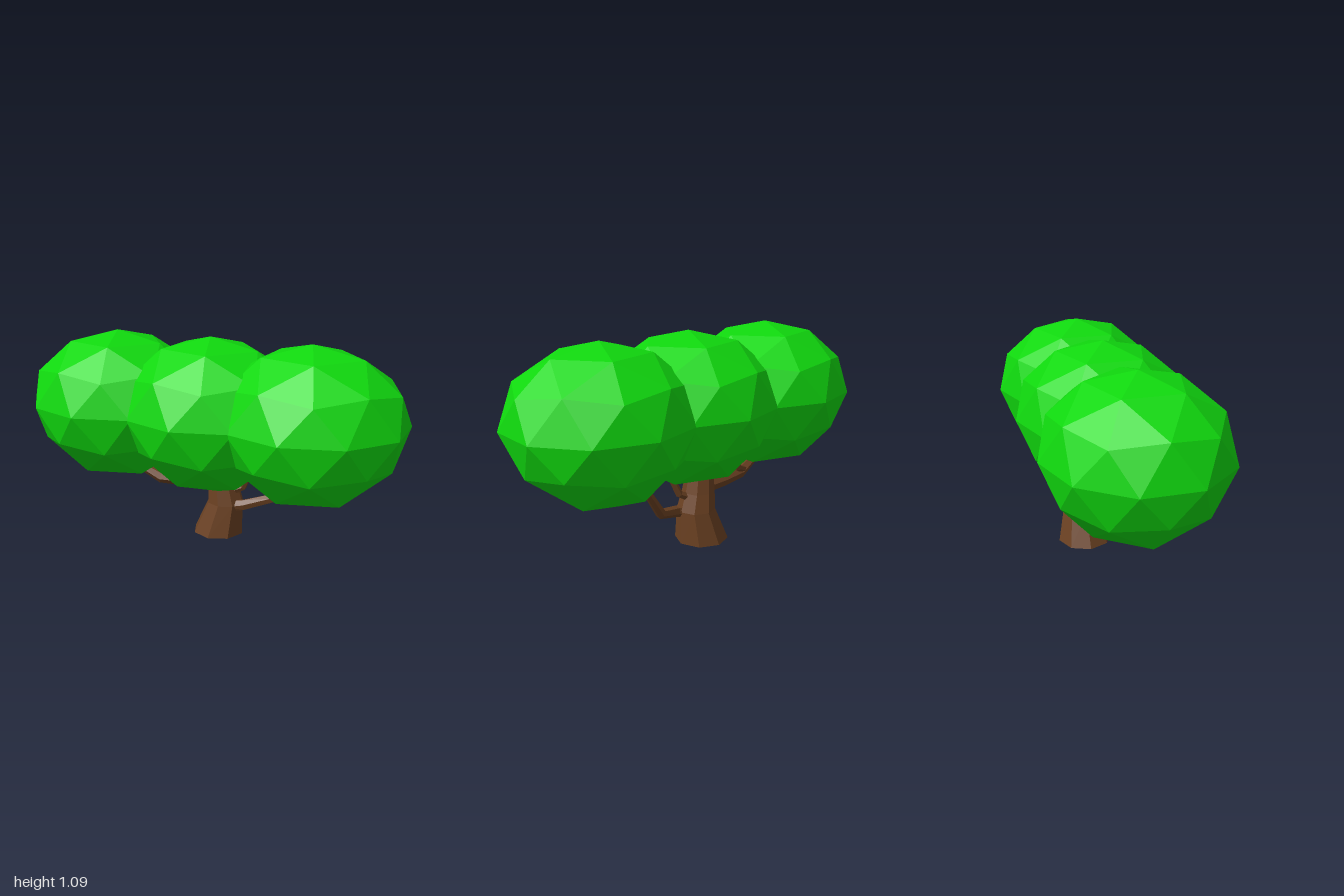
import * as THREE from 'three';

const leafMaterial = new THREE.MeshStandardMaterial({ color: 0x10d80e, flatShading: true });
const barkMaterial = new THREE.MeshStandardMaterial({ color: 0x6b4122, flatShading: true });
const UP = new THREE.Vector3(0, 1, 0);

// Faceted limb through rings of [x, y, z, radius]; level rings stay horizontal
function limb(name, rings, sides, level = false) {
  const n = rings.length;
  const geometry = new THREE.CylinderGeometry(1, 1, 1, sides, n - 1).toNonIndexed();
  const centres = rings.map(([x, y, z]) => new THREE.Vector3(x, y, z));
  const turns = centres.map((_, i) => {
    const q = new THREE.Quaternion();
    if (level) return q;
    const along = centres[Math.min(i + 1, n - 1)].clone().sub(centres[Math.max(i - 1, 0)]);
    return q.setFromUnitVectors(UP, along.normalize());
  });
  const position = geometry.attributes.position;
  const v = new THREE.Vector3();
  for (let i = 0; i < position.count; i++) {
    v.fromBufferAttribute(position, i);
    const row = Math.round((v.y + 0.5) * (n - 1));
    v.y = 0;
    v.multiplyScalar(rings[row][3]).applyQuaternion(turns[row]).add(centres[row]);
    position.setXYZ(i, v.x, v.y, v.z);
  }
  geometry.computeVertexNormals();
  const mesh = new THREE.Mesh(geometry, barkMaterial);
  mesh.name = name;
  return mesh;
}

// Flattened icosphere standing on a vertex, with its lowest point pulled to `bottom`
function crown(name, x, bottom) {
  const geometry = new THREE.IcosahedronGeometry(1, 1);
  geometry.rotateZ(-Math.atan(2 / (1 + Math.sqrt(5))));
  const position = geometry.attributes.position;
  const v = new THREE.Vector3();
  for (let i = 0; i < position.count; i++) {
    v.fromBufferAttribute(position, i);
    if (v.y < -0.95) {
      position.setXYZ(i, ...bottom);
    } else {
      const sag = v.y < -0.8 ? 0.035 : 0;
      position.setXYZ(i, x + v.x * 0.484, 0.708 + v.y * 0.378 - sag, v.z * 0.45);
    }
  }
  geometry.computeVertexNormals();
  const mesh = new THREE.Mesh(geometry, leafMaterial);
  mesh.name = name;
  return mesh;
}

export function createModel() {
  const tree = new THREE.Group();
  tree.name = 'tree';

  // Foliage
  tree.add(
    crown('rightCrown', -0.54, [-0.53, 0.318, 0]),
    crown('middleCrown', 0.005, [0.08, 0.295, 0.06]),
    crown('leftCrown', 0.536, [0.49, 0.285, -0.06]),
  );

  // Trunk
  tree.add(limb('trunk', [
    [0.005, 0, -0.105, 0.14],
    [0.045, 0.175, -0.108, 0.1],
    [0.03, 0.27, -0.108, 0.085],
    [0.02, 0.38, -0.108, 0.07],
  ], 8, true));

  // Branches
  tree.add(
    limb('rightBranch', [
      [0.03, 0.28, -0.1, 0.045], [-0.16, 0.275, -0.08, 0.038],
      [-0.32, 0.275, -0.05, 0.035], [-0.47, 0.345, -0.03, 0.025],
    ], 6),
    limb('rightTwig', [
      [-0.34, 0.29, -0.06, 0.02], [-0.26, 0.325, -0.1, 0.02], [-0.21, 0.42, -0.11, 0.015],
    ], 6),
    limb('leftBranch', [
      [0.07, 0.16, -0.08, 0.035], [0.16, 0.178, -0.085, 0.03],
      [0.3, 0.22, -0.14, 0.027], [0.41, 0.37, -0.175, 0.02],
    ], 6),
    limb('middleTwig', [
      [0.06, 0.23, -0.1, 0.028], [0.15, 0.275, -0.1, 0.02], [0.2, 0.38, -0.09, 0.015],
    ], 6),
  );

  return tree;
}
